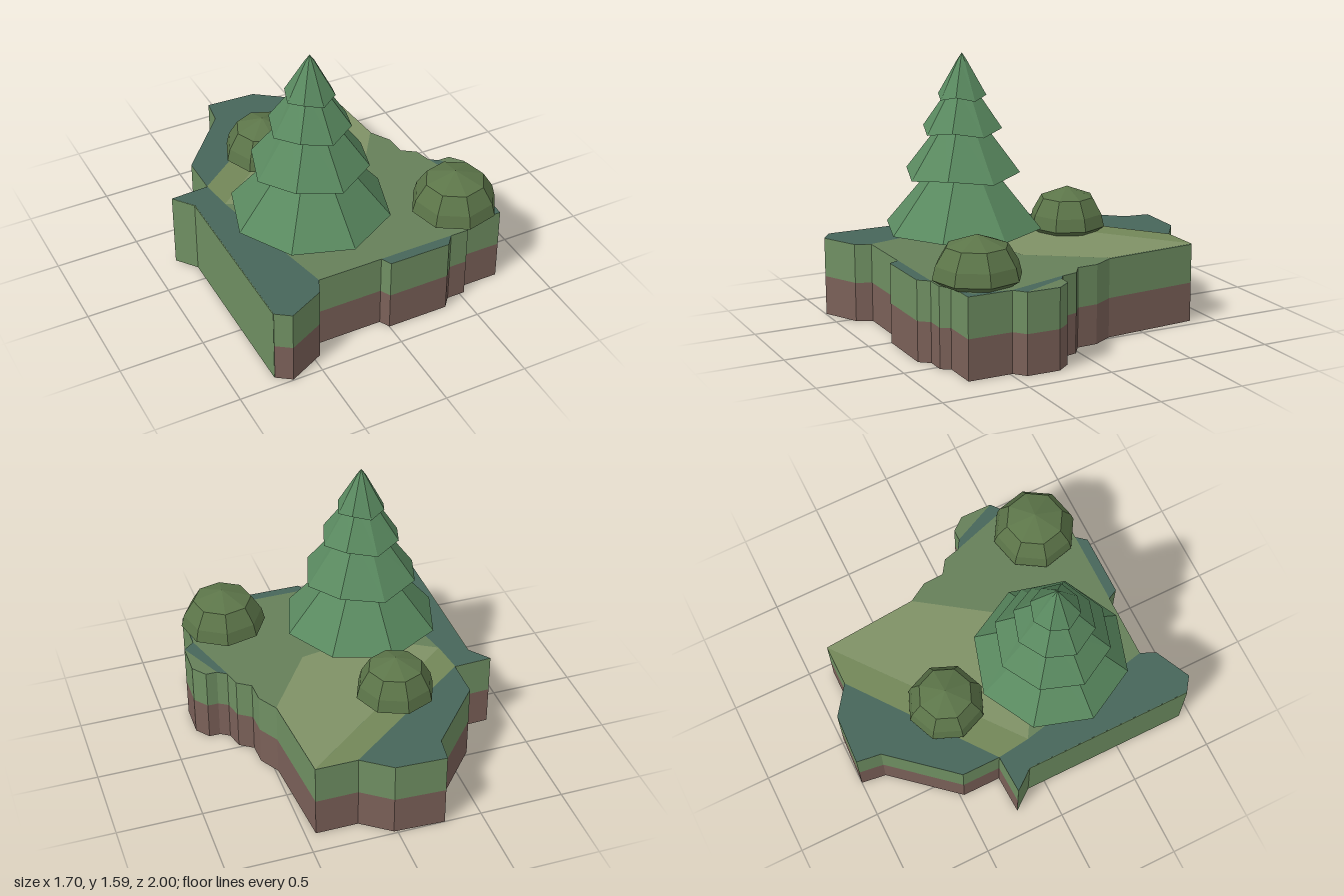
import * as THREE from 'three';

const TOP = 0.468, MID = 0.235;
const COLORS = {
  grass: 0x6f8f62, dirt: 0x7a6058, shade: 0x47665a, meadow: 0x667f59, olive: 0x738758,
  sunlit: 0x7f9166, leaves: 0x5a8a60, bush: 0x5c7549, bark: 0x80603f,
};

// Ground outline as [x, z], running round from the back
const OUTLINE = [
  [-0.28, -1], [0.02, -0.985], [0.19, -0.86], [0.44, -0.86], [0.485, -0.28], [0.555, -0.16],
  [0.56, -0.035], [0.64, 0.02], [0.665, 0.12], [0.72, 0.155], [0.785, 0.155], [0.848, 0.235],
  [0.845, 0.43], [0.778, 0.485], [0.778, 0.747], [0.565, 0.747], [0.53, 0.8], [0.42, 0.8],
  [0.37, 0.86], [0, 0.86], [-0.03, 0.8], [-0.42, 0.8], [-0.46, 0.89], [-0.675, 0.995],
  [-0.76, 0.935], [-0.76, -0.11], [-0.855, -0.23], [-0.625, -0.24], [-0.625, -0.475], [-0.3, -0.85],
];

function addMesh(parent, name, geometry, color) {
  const mesh = new THREE.Mesh(geometry, new THREE.MeshStandardMaterial({ color, flatShading: true }));
  mesh.name = name;
  parent.add(mesh);
  return mesh;
}

// Horizontal slab (or flat patch when height is 0) from [x, z] points
function slab(points, y, height) {
  const shape = new THREE.Shape(points.map(([x, z]) => new THREE.Vector2(x, -z)));
  const geo = height
    ? new THREE.ExtrudeGeometry(shape, { depth: height, bevelEnabled: false })
    : new THREE.ShapeGeometry(shape);
  return geo.rotateX(-Math.PI / 2).translate(0, y, 0);
}

// Eight-sided solid from a bottom-to-top [radius, y] profile
function faceted(profile, startDegrees) {
  const points = profile.map(([r, y]) => new THREE.Vector2(r, y));
  return new THREE.LatheGeometry(points, 8, THREE.MathUtils.degToRad(startDegrees));
}

function makeGround() {
  const ground = new THREE.Group();
  ground.name = 'ground';
  addMesh(ground, 'dirtLayer', slab(OUTLINE, 0, MID), COLORS.dirt);
  addMesh(ground, 'grassLayer', slab(OUTLINE, MID, TOP - MID), COLORS.grass);

  // Grass hanging down the full left wall
  addMesh(ground, 'leftGrassWall', slab([
    [-0.855, -0.228], [-0.763, -0.11], [-0.763, 0.935], [-0.757, 0.93], [-0.757, -0.112],
  ], 0.001, TOP - 0.002), COLORS.grass);

  // Coloured patches on the surface, each a hair above the last
  const patches = [
    ['shadePatch', COLORS.shade, OUTLINE],
    ['meadowPatch', COLORS.meadow, [
      [0.19, -0.86], [0.44, -0.86], [0.485, -0.28], [0.555, -0.16], [0.56, -0.035], [0.64, 0.02],
      [0.665, 0.12], [0.778, 0.485], [0.74, 0.7], [0.53, 0.8], [-0.42, 0.8], [-0.6, -0.04], [-0.625, -0.24]]],
    ['rightEdgePatch', COLORS.meadow, [[0.72, 0.155], [0.785, 0.155], [0.848, 0.235], [0.845, 0.43]]],
    ['olivePatch', COLORS.olive, [[0.19, -0.86], [0.44, -0.86], [-0.6, -0.04], [-0.625, -0.24]]],
    ['sunlitPatch', COLORS.sunlit, [[0.44, -0.86], [0.485, -0.28], [0.2, 0.13], [-0.2, 0.2], [-0.6, -0.04]]],
  ];
  patches.forEach(([name, color, points], i) => {
    addMesh(ground, name, slab(points, TOP + 0.001 * (i + 1), 0), color);
  });
  return ground;
}

function makeTree() {
  const tree = new THREE.Group();
  tree.name = 'pineTree';
  const trunk = addMesh(tree, 'trunk', new THREE.CylinderGeometry(0.045, 0.045, 0.26, 8), COLORS.bark);
  trunk.position.y = TOP + 0.13;

  // Tiers: rim radius, rim height, top radius, top height, lift of alternate rim corners
  const tiers = [
    [0.465, 0.567, 0.16, 0.94, 0.008],
    [0.34, 0.875, 0.12, 1.19, 0.03],
    [0.235, 1.13, 0.08, 1.38, 0.03],
    [0.143, 1.325, 0.03, 1.545, 0.025],
  ];
  tiers.forEach(([rim, y, topR, topY, lift], i) => {
    const geo = faceted([[0, y + 0.06], [rim * 0.6, y + 0.05], [rim, y], [topR, topY], [0, topY + 0.045]], 5.5);
    const pos = geo.attributes.position;
    for (let v = 0; v < pos.count; v++) {
      const column = Math.floor(v / 5);
      if (v % 5 === 2 && column % 2) pos.setY(v, y + lift);
    }
    geo.computeVertexNormals();
    addMesh(tree, `foliageTier${i + 1}`, geo, COLORS.leaves);
  });
  tree.position.set(-0.22, 0, 0.3);
  return tree;
}

function makeBush(name, x, z, scale, startDegrees) {
  const bush = new THREE.Group();
  bush.name = name;
  const profile = [[0, 0], [0.19, 0], [0.24, 0.035], [0.222, 0.11], [0.165, 0.208], [0, 0.27]];
  const mesh = addMesh(bush, 'bushLeaves', faceted(profile, startDegrees), COLORS.bush);
  mesh.scale.set(scale, 1, scale);
  bush.position.set(x, TOP, z);
  return bush;
}

export function createModel() {
  const model = new THREE.Group();
  model.name = 'forestTile';
  model.add(
    makeGround(),
    makeTree(),
    makeBush('backBush', -0.197, -0.378, 0.97, 0),
    makeBush('frontBush', 0.56, 0.587, 1.06, -9),
  );
  return model;
}
